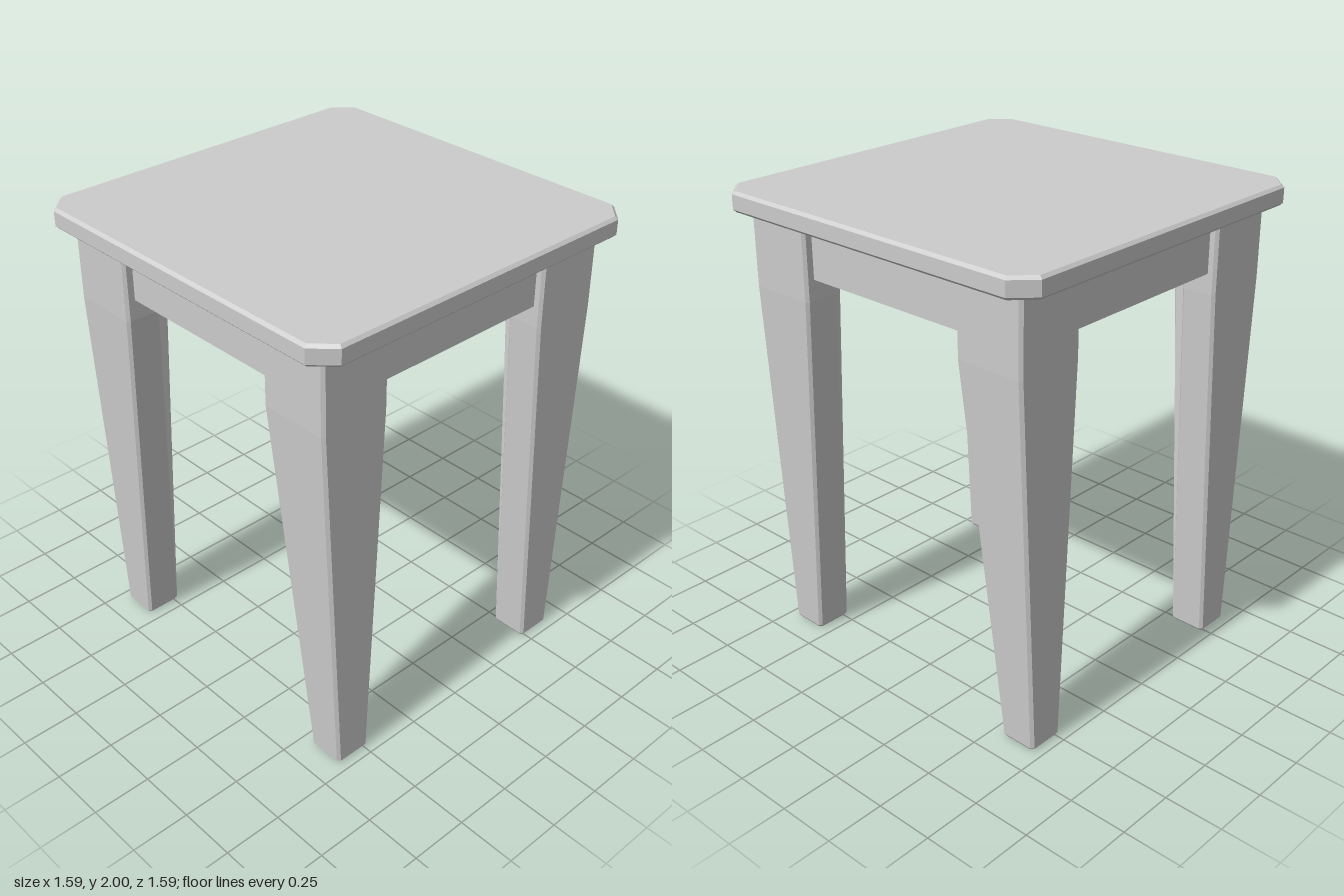
import * as THREE from 'three';

const material = new THREE.MeshStandardMaterial({ color: 0xcccccc, flatShading: true });
const BEVEL = 0.012;
const LEG_TOP = 1.915;
const WALL = 0.155; // thickness of the two boards forming each leg

// L-shaped leg section: outer x, inner x, inner z; shrunk by inset
function legSection(xo, xi, zi, inset) {
  const zo = 0.71 - inset, d = inset;
  const corners = [
    [xo - d, zo], [xo - d, zi + d], [xo - WALL + d, zi + d],
    [xo - WALL + d, 0.71 - WALL + d], [xi + d, 0.71 - WALL + d], [xi + d, zo],
  ];
  const points = [];
  const step = (a, b, amount) => {
    const length = Math.hypot(b[0] - a[0], b[1] - a[1]);
    const t = Math.min(amount, length * 0.4) / (length || 1);
    return [a[0] + (b[0] - a[0]) * t, a[1] + (b[1] - a[1]) * t];
  };
  corners.forEach((c, i) => {
    if (i === 3) { points.push(c); return; } // sharp inner corner
    points.push(step(c, corners[(i + 5) % 6], BEVEL), step(c, corners[(i + 1) % 6], BEVEL));
  });
  return points;
}

// Tapered leg lofted through four sections, mirrored by the signs sx and sz
function legGeometry(sx, sz) {
  const rings = [
    [0, legSection(0.64, 0.48, 0.55, 0.008)],
    [BEVEL, legSection(0.64, 0.48, 0.55, 0)],
    [1.6, legSection(0.715, 0.405, 0.4, 0)],
    [LEG_TOP, legSection(0.715, 0.405, 0.4, 0)],
  ];
  const positions = [];
  const flip = sx * sz < 0;
  const triangle = (a, b, c) => {
    for (const [x, y, z] of flip ? [a, c, b] : [a, b, c]) positions.push(x * sx, y, z * sz);
  };
  const at = (r, i) => {
    const [y, section] = rings[r];
    const p = section[i % section.length];
    return [p[0], y, p[1]];
  };
  const count = rings[0][1].length;
  for (let r = 0; r < rings.length - 1; r++) {
    for (let i = 0; i < count; i++) {
      triangle(at(r, i), at(r, i + 1), at(r + 1, i + 1));
      triangle(at(r, i), at(r + 1, i + 1), at(r + 1, i));
    }
  }
  // End caps, oriented by the sign of each triangle
  for (const r of [0, rings.length - 1]) {
    const outline = rings[r][1].map(p => new THREE.Vector2(p[0], p[1]));
    for (const [a, b, c] of THREE.ShapeUtils.triangulateShape(outline, [])) {
      const facesDown = THREE.ShapeUtils.area([outline[a], outline[b], outline[c]]) > 0;
      if (facesDown === (r === 0)) triangle(at(r, a), at(r, b), at(r, c));
      else triangle(at(r, a), at(r, c), at(r, b));
    }
  }
  const geometry = new THREE.BufferGeometry();
  geometry.setAttribute('position', new THREE.Float32BufferAttribute(positions, 3));
  geometry.computeVertexNormals();
  return geometry;
}

// Square seat with clipped corners and bevelled rims
function seatGeometry() {
  const a = 0.797 - BEVEL, b = 0.708;
  const shape = new THREE.Shape([
    [a, -b], [a, b], [b, a], [-b, a], [-a, b], [-a, -b], [-b, -a], [b, -a],
  ].map(p => new THREE.Vector2(...p)));
  const geometry = new THREE.ExtrudeGeometry(shape, {
    depth: 2 - LEG_TOP - 2 * BEVEL, bevelEnabled: true,
    bevelThickness: BEVEL, bevelSize: BEVEL, bevelSegments: 1,
  });
  geometry.rotateX(-Math.PI / 2);
  geometry.translate(0, LEG_TOP + BEVEL, 0);
  return geometry;
}

export function createModel() {
  const model = new THREE.Group();
  model.name = 'stool';
  const add = (name, geometry) => {
    const mesh = new THREE.Mesh(geometry, material);
    mesh.name = name;
    model.add(mesh);
    return mesh;
  };

  add('seat', seatGeometry());

  for (const sx of [1, -1]) {
    for (const sz of [1, -1]) {
      add((sz > 0 ? 'front' : 'back') + (sx > 0 ? 'Left' : 'Right') + 'Leg', legGeometry(sx, sz));
    }
  }

  // Rails under the seat, set slightly back from the leg faces
  ['frontRail', 'leftRail', 'backRail', 'rightRail'].forEach((name, i) => {
    const rail = new THREE.BoxGeometry(0.83, 0.23, 0.1);
    rail.translate(0, 1.8, 0.625);
    rail.rotateY(i * Math.PI / 2);
    add(name, rail);
  });

  return model;
}
